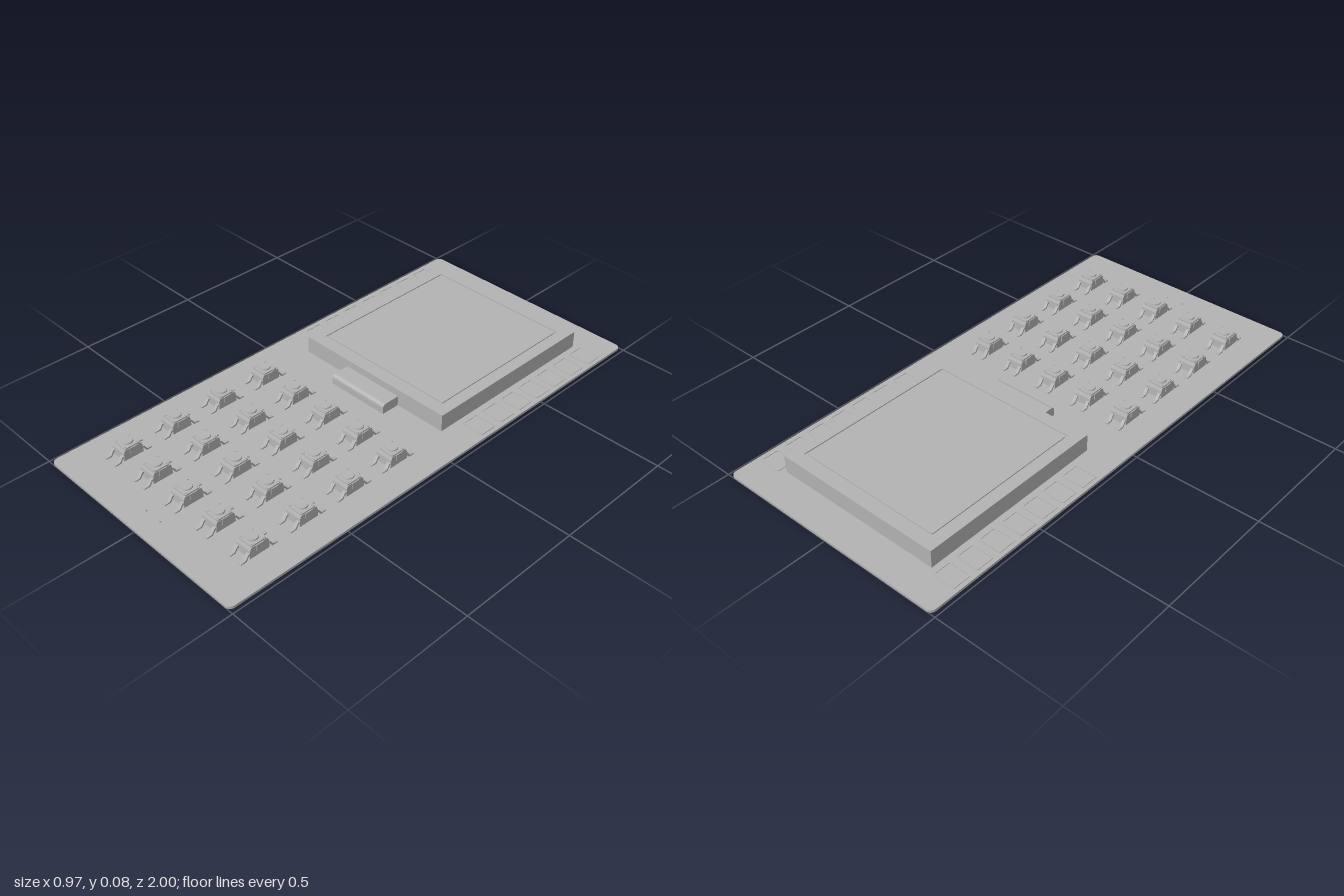
import * as THREE from 'three';

const grey = new THREE.MeshStandardMaterial({ color: 0xb2b2b2 });
grey.name = 'grey';

function add(parent, name, geometry, x = 0, y = 0, z = 0) {
  const mesh = new THREE.Mesh(geometry, grey);
  mesh.name = name;
  mesh.position.set(x, y, z);
  parent.add(mesh);
  return mesh;
}

function roundedRect(w, d, r) {
  const s = new THREE.Shape();
  const a = w / 2, b = d / 2;
  s.absarc(a - r, b - r, r, 0, Math.PI / 2);
  s.absarc(r - a, b - r, r, Math.PI / 2, Math.PI);
  s.absarc(r - a, r - b, r, Math.PI, Math.PI * 1.5);
  s.absarc(a - r, r - b, r, Math.PI * 1.5, Math.PI * 2);
  s.closePath();
  return s;
}

function hole(shape, x, z, r) {
  shape.holes.push(new THREE.Path().absarc(x, -z, r, 0, Math.PI * 2, true));
}

function rectHole(shape, w, d) {
  shape.holes.push(new THREE.Path(roundedRect(w, d, 0.004).getPoints(4).reverse()));
}

// Flat slab lying on y = 0, drawn in x and -z
function slab(shape, height) {
  return new THREE.ExtrudeGeometry(shape, { depth: height, bevelEnabled: false, curveSegments: 10 })
    .rotateX(-Math.PI / 2);
}

// Side profile in (z, y) extruded along x and centred
function sideProfile(shape, width) {
  return new THREE.ExtrudeGeometry(shape, { depth: width, bevelEnabled: false, curveSegments: 8 })
    .translate(0, 0, -width / 2).rotateY(-Math.PI / 2);
}

function polygon(points) {
  return new THREE.Shape(points.map(([x, y]) => new THREE.Vector2(x, y)));
}

function createKey(parts) {
  const key = new THREE.Group();
  key.name = 'keySwitch';
  add(key, 'keyBody', parts.body);
  add(key, 'keyCover', parts.cover, 0, 0.047, 0);
  add(key, 'keyButton', parts.button, 0, 0.0535, 0);
  for (const sx of [-1, 1]) {
    for (const sz of [-1, 1]) {
      const leg = add(key, 'keyLeg', parts.leg, sx * 0.027, 0, 0);
      if (sz < 0) leg.rotation.y = Math.PI;
      add(key, 'coverRivet', parts.rivet, sx * 0.025, 0.051, sz * 0.025);
    }
    add(key, 'coverClip', parts.clip, sx * 0.036, 0.036, 0);
  }
  return key;
}

export function createModel() {
  const model = new THREE.Group();
  model.name = 'keypadBoard';

  // Circuit board with mounting and pin holes
  const board = roundedRect(0.97, 2, 0.022);
  hole(board, 0.173, -0.357, 0.021);
  hole(board, -0.209, -0.255, 0.021);
  hole(board, -0.045, 0.915, 0.004);
  hole(board, 0.03, 0.915, 0.004);
  add(model, 'circuitBoard', slab(board, 0.01));

  // Display: open-bottomed casing, raised frame and inset screen
  const display = new THREE.Group();
  display.name = 'display';
  display.position.set(0, 0.01, -0.48);
  model.add(display);
  const casing = new THREE.BoxGeometry(0.704, 0.066, 0.77);
  const faces = Array.from(casing.index.array);
  faces.splice(18, 6);
  casing.setIndex(faces);
  casing.clearGroups();
  add(display, 'displayCasing', casing, 0, 0.033, 0);
  const frame = roundedRect(0.704, 0.77, 0.004);
  rectHole(frame, 0.616, 0.67);
  add(display, 'displayFrame', slab(frame, 0.004), 0, 0.066, 0);
  add(display, 'screen', slab(roundedRect(0.6, 0.654, 0.004), 0.004), 0, 0.066, 0);

  // Folded ribbon below the display
  const ribbon = new THREE.Shape();
  ribbon.moveTo(-0.1, 0.01);
  ribbon.lineTo(-0.017, 0.01);
  ribbon.lineTo(-0.017, 0.034);
  ribbon.quadraticCurveTo(-0.017, 0.05, -0.036, 0.05);
  ribbon.lineTo(-0.1, 0.05);
  ribbon.closePath();
  add(model, 'ribbonFold', sideProfile(ribbon, 0.268));

  // Outlined contact pads along both edges
  const outline = roundedRect(0.095, 0.078, 0.006);
  rectHole(outline, 0.083, 0.066);
  const padGeometry = slab(outline, 0.002);
  for (const side of [-1, 1]) {
    for (let i = 0; i < 7; i++) {
      add(model, 'contactPad', padGeometry, side * 0.421, 0.01, -0.222 - i * 0.104);
    }
  }

  // Grid of push switches
  const parts = {
    body: sideProfile(polygon([[-0.041, 0.004], [0.041, 0.004], [0.039, 0.035], [0.034, 0.047], [-0.034, 0.047], [-0.039, 0.035]]), 0.07),
    cover: slab(roundedRect(0.066, 0.064, 0.006), 0.005),
    button: new THREE.CylinderGeometry(0.021, 0.023, 0.008, 24),
    rivet: new THREE.CylinderGeometry(0.004, 0.004, 0.006, 10),
    clip: new THREE.BoxGeometry(0.004, 0.024, 0.03),
    leg: sideProfile(polygon([[0.036, 0.026], [0.046, 0.024], [0.058, 0.006], [0.078, 0.004], [0.078, 0], [0.054, 0], [0.044, 0.017], [0.036, 0.018]]), 0.013),
  };
  for (let row = 0; row < 4; row++) {
    for (let col = -2; col <= 2; col++) {
      const key = createKey(parts);
      key.position.set(col * 0.168, 0.01, 0.145 + row * 0.2115);
      model.add(key);
    }
  }
  return model;
}
